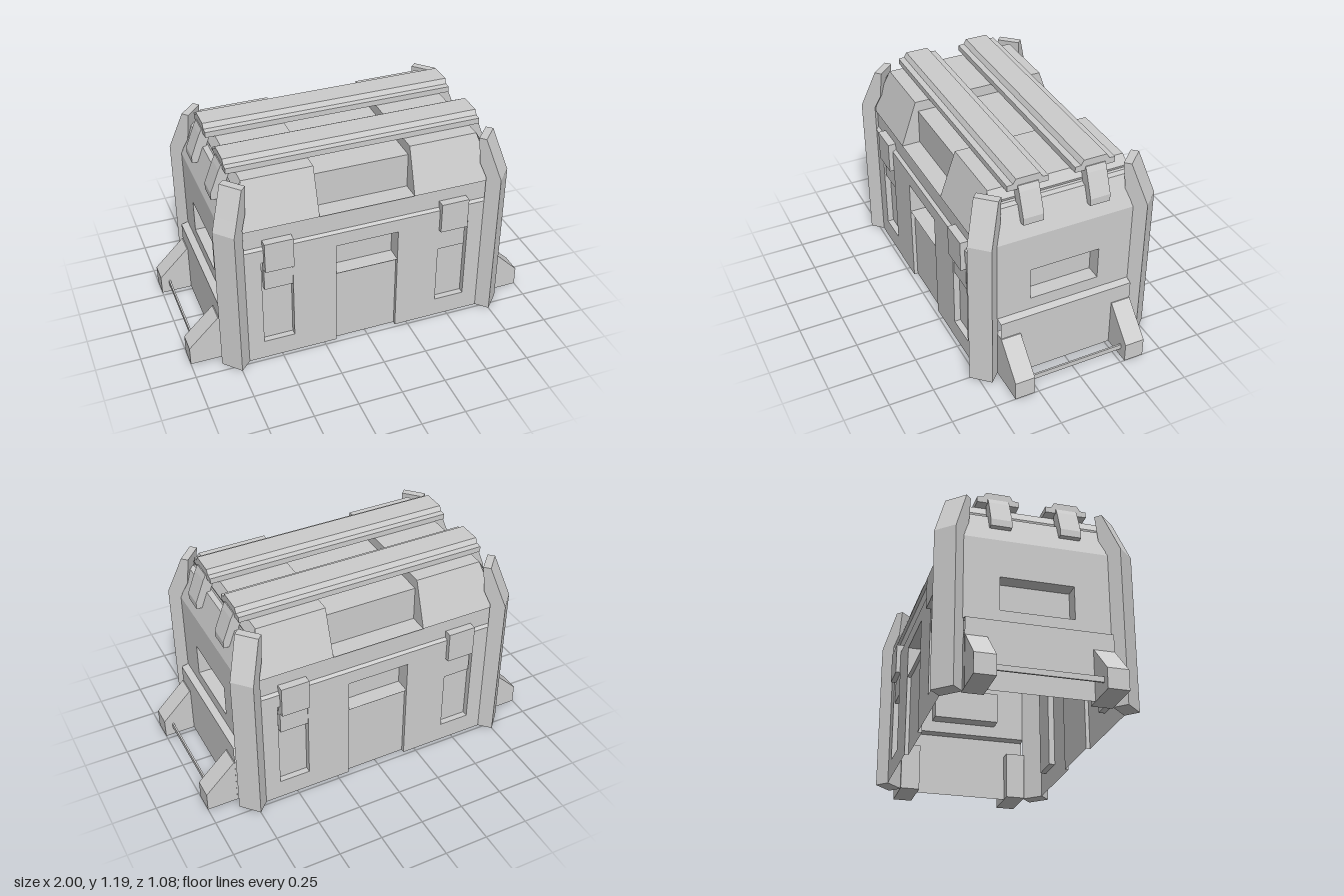
import * as THREE from 'three';

const grey = new THREE.MeshStandardMaterial({ color: 0xcccccc, side: THREE.DoubleSide });
grey.name = 'plainGrey';

function add(parent, name, geometry) {
  const mesh = new THREE.Mesh(geometry, grey);
  mesh.name = name;
  parent.add(mesh);
  return mesh;
}

// Flat faces from lists of four corners
function quads(list) {
  const pos = [];
  for (const [a, b, c, d] of list) pos.push(...a, ...b, ...c, ...a, ...c, ...d);
  const g = new THREE.BufferGeometry();
  g.setAttribute('position', new THREE.Float32BufferAttribute(pos, 3));
  g.computeVertexNormals();
  return g;
}

// Box spanning two corners
function box(x0, x1, y0, y1, z0, z1) {
  return new THREE.BoxGeometry(x1 - x0, y1 - y0, z1 - z0)
    .translate((x0 + x1) / 2, (y0 + y1) / 2, (z0 + z1) / 2);
}

// Pocket open towards +z: floor, roof, cheeks and back
function pocket(x0, x1, y0, y1, zBack, zFront) {
  const p = (x, y, z) => [x, y, z];
  const f = [p(x0, y0, zFront), p(x1, y0, zFront), p(x1, y1, zFront), p(x0, y1, zFront)];
  const b = [p(x0, y0, zBack), p(x1, y0, zBack), p(x1, y1, zBack), p(x0, y1, zBack)];
  const list = [b];
  for (let i = 0; i < 4; i++) {
    const j = (i + 1) % 4;
    list.push([f[i], f[j], b[j], b[i]]);
  }
  return quads(list);
}

const outline = pts => new THREE.Shape(pts.map(([x, y]) => new THREE.Vector2(x, y)));
const rect = (x0, x1, y0, y1) => [[x0, y0], [x0, y1], [x1, y1], [x1, y0]];

function prism(pts, depth) {
  return new THREE.ExtrudeGeometry(outline(pts), { depth, bevelEnabled: false })
    .translate(0, 0, -depth / 2);
}

// Sheet following [halfWidth, y, z] rows
function sheet(rows) {
  const list = [];
  for (let i = 0; i + 1 < rows.length; i++) {
    const [w, y, z] = rows[i], [v, t, s] = rows[i + 1];
    list.push([[-w, y, z], [w, y, z], [v, t, s], [-v, t, s]]);
  }
  return quads(list);
}

// Long wall with pockets, latches, lid slope and half of the roof
function longSide() {
  const side = new THREE.Group();
  side.name = 'longSide';
  const wall = outline([[-0.74, 0], [-0.18, 0], [-0.18, 0.655], [0.18, 0.655],
    [0.18, 0], [0.74, 0], [0.74, 0.735], [-0.74, 0.735]]);
  for (const s of [-1, 1]) {
    const [a, b] = s > 0 ? [0.425, 0.6] : [-0.6, -0.425];
    wall.holes.push(new THREE.Path(outline(rect(a, b, 0.115, 0.655)).getPoints()));
    add(side, 'latchPocket', pocket(a, b, 0.115, 0.655, 0.445, 0.48));
    const [c, d] = s > 0 ? [0.425, 0.585] : [-0.585, -0.425];
    add(side, 'latchBlock', box(c, d, 0.47, 0.605, 0.445, 0.475));
    add(side, 'latchPlate', box(c, d, 0.605, 0.785, 0.455, 0.505));
  }
  add(side, 'wall', new THREE.ShapeGeometry(wall).translate(0, 0, 0.48));
  add(side, 'grip', pocket(-0.18, 0.18, 0.47, 0.655, 0.39, 0.48));
  add(side, 'centrePanel', quads([
    [[-0.18, 0, 0.458], [0.18, 0, 0.458], [0.18, 0.47, 0.458], [-0.18, 0.47, 0.458]],
    [[-0.18, 0, 0.48], [-0.18, 0, 0.458], [-0.18, 0.47, 0.458], [-0.18, 0.47, 0.48]],
    [[0.18, 0, 0.48], [0.18, 0, 0.458], [0.18, 0.47, 0.458], [0.18, 0.47, 0.48]],
  ]));
  add(side, 'lidBand', sheet([[0.74, 0.735, 0.48], [0.74, 0.745, 0.46],
    [0.74, 0.855, 0.46], [0.74, 0.865, 0.475]]));
  // Raised lid panels on both sides of a sunken centre
  for (const s of [-1, 1]) {
    const x = 0.27 * s, e = 0.74 * s, t = 0.66 * s;
    add(side, 'lidPanel', quads([
      [[x, 0.865, 0.475], [e, 0.865, 0.475], [t, 1.125, 0.385], [x, 1.125, 0.385]],
      [[x, 1.125, 0.385], [t, 1.125, 0.385], [t, 1.125, 0], [x, 1.125, 0]],
      [[x, 0.865, 0.475], [x, 1.125, 0.385], [x, 1.065, 0.37], [x, 0.865, 0.37]],
      [[x, 1.125, 0.385], [x, 1.125, 0], [x, 1.065, 0], [x, 1.065, 0.37]],
    ]));
  }
  add(side, 'lidCentre', sheet([[0.27, 0.865, 0.475], [0.27, 0.865, 0.37],
    [0.27, 1.065, 0.37], [0.27, 1.065, 0]]));
  // Roof rail
  const rail = [[-0.115, 1.128], [-0.115, 1.16], [-0.082, 1.163], [-0.066, 1.19],
    [0.066, 1.19], [0.082, 1.163], [0.115, 1.16], [0.115, 1.128]];
  add(side, 'roofRail', prism(rail, 1.43).rotateY(Math.PI / 2).translate(0, 0, 0.19));
  return side;
}

// End wall, built facing +z and then turned to face +x
function endSide() {
  const end = new THREE.Group();
  end.name = 'endSide';
  const wall = outline(rect(-0.43, 0.43, 0.39, 0.865));
  wall.holes.push(new THREE.Path(outline(rect(-0.2, 0.2, 0.46, 0.65)).getPoints()));
  add(end, 'wall', new THREE.ShapeGeometry(wall).translate(0, 0, 0.785));
  add(end, 'handlePocket', pocket(-0.2, 0.2, 0.46, 0.65, 0.7, 0.785));
  add(end, 'lowerPlate', sheet([[0.39, 0, 0.825], [0.39, 0.38, 0.825], [0.39, 0.39, 0.785]]));
  add(end, 'lidSlope', sheet([[0.43, 0.865, 0.785], [0.4, 1.04, 0.72], [0.4, 1.045, 0.69],
    [0.4, 1.055, 0.685], [0.4, 1.07, 0.69], [0.385, 1.125, 0.66]]));
  // Bumper: two wedge feet joined by a thin bar
  const foot = [[0.76, 0], [1, 0], [1, 0.11], [0.83, 0.28], [0.76, 0.28]];
  const strap = [[0.68, 1.15], [0.72, 1.15], [0.735, 1.12], [0.785, 0.99], [0.785, 0.95],
    [0.73, 0.95], [0.68, 1.1]];
  for (const s of [-1, 1]) {
    add(end, 'foot', prism(foot, 0.113).rotateY(-Math.PI / 2).translate(0.332 * s, 0, 0));
    add(end, 'railStrap', prism(strap, 0.115).rotateY(-Math.PI / 2).translate(0.19 * s, 0, 0));
  }
  add(end, 'bumperBar', box(-0.28, 0.28, 0.05, 0.08, 0.945, 0.955));
  end.rotation.y = Math.PI / 2;
  return end;
}

// Corner post: a diagonal block that leans inwards at the top
function post(sx, sz) {
  const levels = [[0, 0, 0.06], [0.89, 0, 0.06], [0.97, 0.024, 0.088], [1.125, 0.07, 0.1]];
  const loops = levels.map(([y, o, i]) => [[0.75 - o, 0.54 - o], [0.838 - o, 0.445 - o],
    [0.838 - i, 0.445 - i], [0.75 - i, 0.54 - i]].map(([x, z]) => [x * sx, y, z * sz]));
  const list = [loops[0], loops[loops.length - 1]];
  for (let k = 0; k + 1 < loops.length; k++) {
    for (let i = 0; i < 4; i++) {
      const j = (i + 1) % 4;
      list.push([loops[k][i], loops[k][j], loops[k + 1][j], loops[k + 1][i]]);
    }
  }
  // Keep faces outward on every corner
  return quads(sx * sz > 0 ? list.map((q, n) => n === 0 ? q : [...q].reverse())
    : list.map((q, n) => n === 0 ? [...q].reverse() : q));
}

export function createModel() {
  const model = new THREE.Group();
  model.name = 'crate';
  // Both halves are alike, turned by half a circle
  for (const turn of [0, Math.PI]) {
    const half = new THREE.Group();
    half.name = turn ? 'backHalf' : 'frontHalf';
    half.add(longSide(), endSide());
    half.rotation.y = turn;
    model.add(half);
  }
  for (const sx of [-1, 1]) for (const sz of [-1, 1]) add(model, 'cornerPost', post(sx, sz));
  return model;
}
